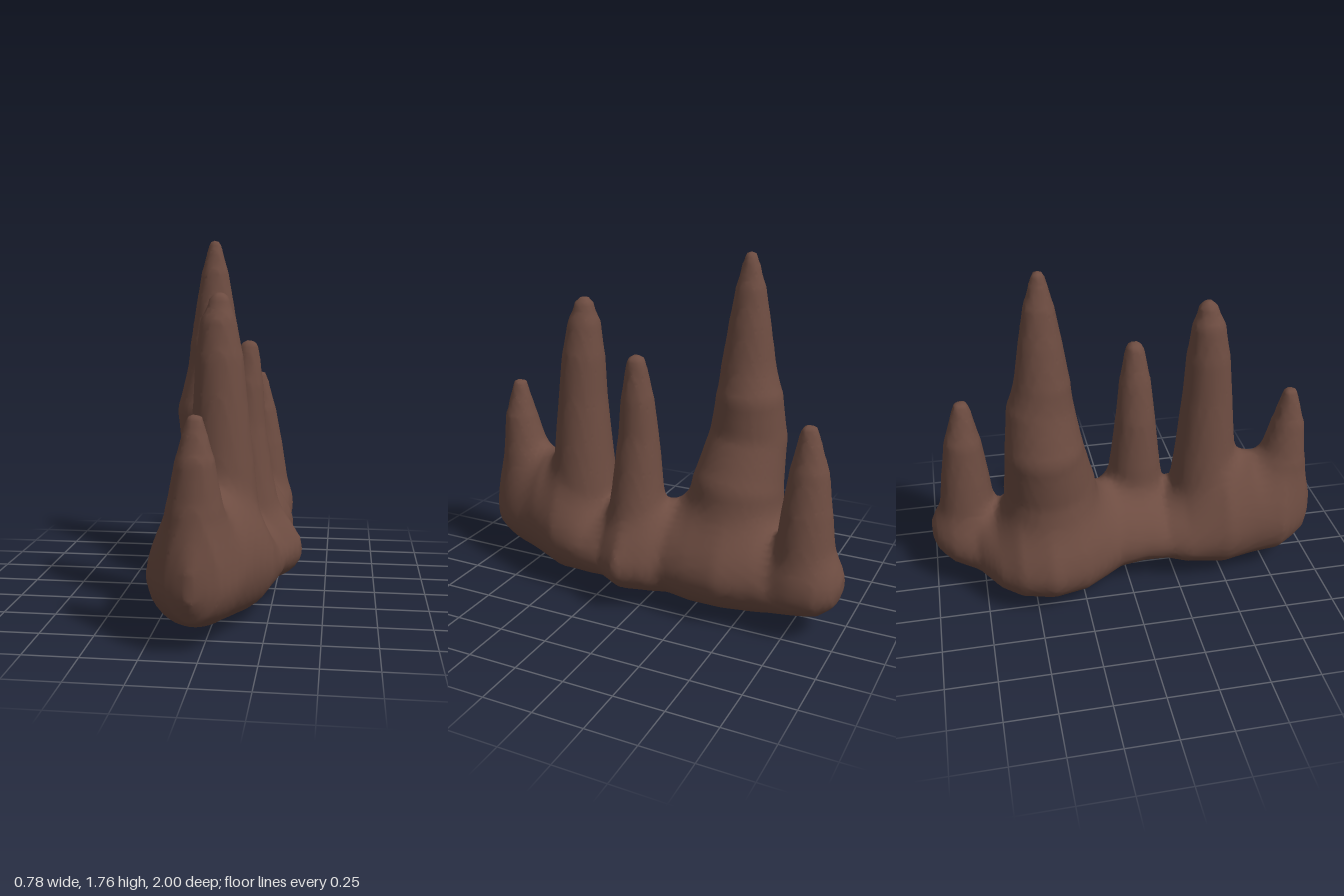
import * as THREE from 'three';

// Base mound slices along z: [z, xMin, xMax, yMin, yMax]
const BASE = [
  [1.0, -0.06, -0.01, 0.25, 0.38], [0.95, -0.14, 0.08, 0.15, 0.52], [0.8, -0.25, 0.155, 0.08, 0.6],
  [0.65, -0.262, 0.22, 0.05, 0.65], [0.5, -0.285, 0.285, 0.025, 0.62], [0.3, -0.255, 0.31, 0.055, 0.46],
  [0.2, -0.22, 0.325, 0.075, 0.43], [0.08, -0.21, 0.395, 0.055, 0.48], [-0.05, -0.22, 0.335, 0.04, 0.5],
  [-0.12, -0.26, 0.285, 0.025, 0.52], [-0.25, -0.345, 0.305, 0, 0.56], [-0.42, -0.393, 0.32, 0.003, 0.56],
  [-0.58, -0.345, 0.285, 0.015, 0.52], [-0.68, -0.265, 0.28, 0.05, 0.43], [-0.78, -0.12, 0.29, 0.085, 0.42],
  [-0.9, -0.05, 0.283, 0.115, 0.42], [-0.97, 0.02, 0.24, 0.17, 0.38], [-1.0, 0.08, 0.18, 0.23, 0.33],
];

// Spires as chains of tapering spheres: [x, y, z, radius]
const SPIRES = [
  [[-0.03, 0.3, 0.79, 0.17], [-0.035, 0.6, 0.83, 0.125], [-0.03, 0.8, 0.85, 0.088], [-0.03, 0.975, 0.85, 0.042]],
  [[0.03, 0.35, 0.43, 0.19], [0.03, 0.7, 0.43, 0.153], [0.025, 1.0, 0.43, 0.125], [0.02, 1.2, 0.425, 0.11],
    [0.015, 1.36, 0.42, 0.085], [0.02, 1.455, 0.415, 0.052]],
  [[0.13, 0.35, 0.07, 0.16], [0.11, 0.6, 0.075, 0.13], [0.1, 0.85, 0.075, 0.103], [0.11, 1.05, 0.075, 0.082],
    [0.12, 1.225, 0.075, 0.05]],
  [[-0.05, 0.35, -0.38, 0.27], [-0.055, 0.6, -0.395, 0.23], [-0.12, 0.85, -0.42, 0.193], [-0.1, 1.05, -0.428, 0.165],
    [-0.11, 1.2, -0.415, 0.135], [-0.11, 1.4, -0.415, 0.105], [-0.11, 1.58, -0.415, 0.075], [-0.11, 1.735, -0.412, 0.035]],
  [[0.12, 0.32, -0.81, 0.155], [0.11, 0.6, -0.807, 0.122], [0.1, 0.8, -0.805, 0.095], [0.1, 0.995, -0.797, 0.046]],
];

const lerp = THREE.MathUtils.lerp;

function baseField(x, y, z) {
  const cz = THREE.MathUtils.clamp(z, -0.9999, 0.9999);
  let i = 0;
  while (BASE[i + 1][0] > cz) i++;
  const a = BASE[i], b = BASE[i + 1];
  const t = (cz - a[0]) / (b[0] - a[0]);
  const [, x0, x1, y0, y1] = a.map((v, j) => lerp(v, b[j], t));
  // Round below the widest line, more sloping above it
  const mid = lerp(y0, y1, 0.43);
  const hx = (x1 - x0) / 2;
  const hy = y < mid ? mid - y0 : y1 - mid;
  const power = y < mid ? 2 : 1.75;
  const u = Math.abs(x - (x0 + x1) / 2) / hx, v = Math.abs(y - mid) / hy;
  const d = ((u ** power + v ** power) ** (1 / power) - 1) * Math.min(hx, hy);
  return Math.max(d, Math.abs(z) - 0.997);
}

function spireField(chain, x, y, z) {
  let best = Infinity;
  for (let i = 0; i + 1 < chain.length; i++) {
    const a = chain[i], b = chain[i + 1];
    const d = [b[0] - a[0], b[1] - a[1], b[2] - a[2]];
    let t = (x - a[0]) * d[0] + (y - a[1]) * d[1] + (z - a[2]) * d[2];
    t = THREE.MathUtils.clamp(t / (d[0] ** 2 + d[1] ** 2 + d[2] ** 2), 0, 1);
    const dist = Math.hypot(x - a[0] - t * d[0], y - a[1] - t * d[1], z - a[2] - t * d[2]);
    best = Math.min(best, dist - lerp(a[3], b[3], t));
  }
  return best;
}

// Rounded union, so the spires melt into the mound
function blend(a, b, k) {
  const h = Math.max(k - Math.abs(a - b), 0) / k;
  return Math.min(a, b) - h * h * k / 4;
}

function rockField(x, y, z) {
  let f = baseField(x, y, z);
  for (const s of SPIRES) f = blend(f, spireField(s, x, y, z), 0.075);
  return f;
}

// Turns a field (negative inside) into a smooth quad skin on a regular grid
function skin(field, min, max, step) {
  const n = min.map((v, i) => Math.ceil((max[i] - v) / step) + 1);
  const stride = [1, n[0], n[0] * n[1]];
  const at = (i, j, k) => i + j * stride[1] + k * stride[2];
  const values = new Float32Array(n[0] * n[1] * n[2]);
  const each = (from, fn) => {
    for (let k = from; k < n[2] - 1; k++)
      for (let j = from; j < n[1] - 1; j++)
        for (let i = from; i < n[0] - 1; i++) fn(i, j, k);
  };
  for (let k = 0; k < n[2]; k++)
    for (let j = 0; j < n[1]; j++)
      for (let i = 0; i < n[0]; i++)
        values[at(i, j, k)] = field(min[0] + i * step, min[1] + j * step, min[2] + k * step);

  // One vertex per crossed cell, at the mean of its edge crossings
  const positions = [], indices = [], vertexOf = new Map();
  each(0, (i, j, k) => {
    const p = [0, 0, 0];
    let count = 0;
    for (let c = 0; c < 8; c++) {
      for (let axis = 0; axis < 3; axis++) {
        if (c & (1 << axis)) continue;
        const o = [c & 1, (c >> 1) & 1, c >> 2];
        const id = at(i + o[0], j + o[1], k + o[2]);
        const va = values[id], vb = values[id + stride[axis]];
        if ((va < 0) === (vb < 0)) continue;
        o[axis] += va / (va - vb);
        o.forEach((v, m) => { p[m] += v; });
        count++;
      }
    }
    if (!count) return;
    vertexOf.set(at(i, j, k), positions.length / 3);
    [i, j, k].forEach((v, m) => positions.push(min[m] + (v + p[m] / count) * step));
  });

  // One quad around each crossed edge
  each(1, (i, j, k) => {
    const id = at(i, j, k);
    for (let axis = 0; axis < 3; axis++) {
      const inside = values[id] < 0;
      if (inside === values[id + stride[axis]] < 0) continue;
      const b = stride[(axis + 1) % 3], c = stride[(axis + 2) % 3];
      const q = [id - b - c, id - c, id, id - b].map((v) => vertexOf.get(v));
      if (!inside) q.reverse();
      indices.push(q[0], q[1], q[2], q[0], q[2], q[3]);
    }
  });

  const geometry = new THREE.BufferGeometry();
  geometry.setAttribute('position', new THREE.Float32BufferAttribute(positions, 3));
  geometry.setIndex(indices);
  geometry.computeVertexNormals();
  return geometry;
}

export function createModel() {
  const group = new THREE.Group();
  group.name = 'stalagmiteCluster';
  const rock = new THREE.MeshStandardMaterial({ color: 0x6d4c41 });
  rock.name = 'brownRock';

  const mesh = new THREE.Mesh(skin(rockField, [-0.5, -0.1, -1.1], [0.5, 1.88, 1.1], 0.025), rock);
  mesh.name = 'moundWithSpires';
  group.add(mesh);
  return group;
}
